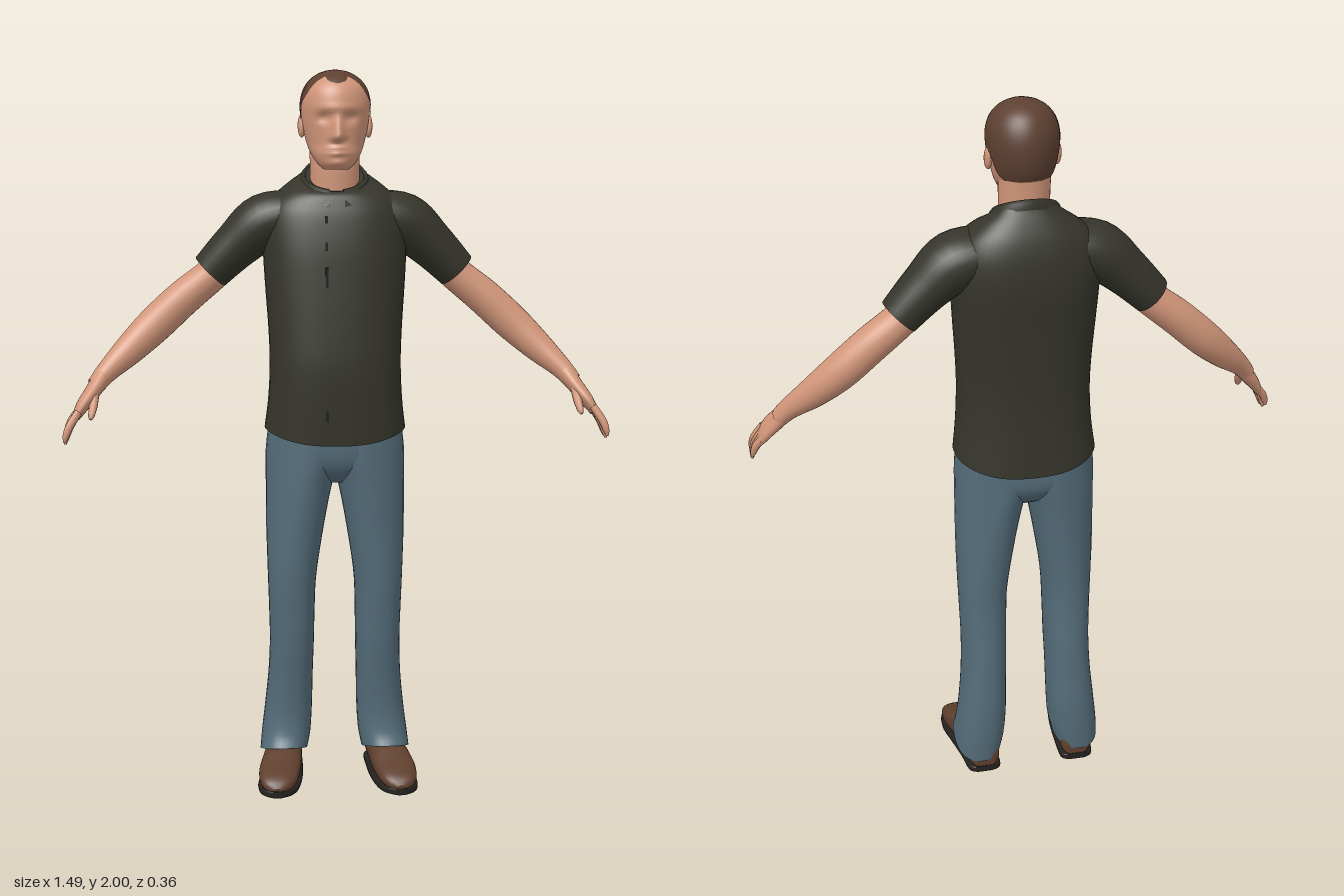
import * as THREE from 'three';

const mat = (name, color) => Object.assign(new THREE.MeshStandardMaterial({ color }), { name });
const { sin, cos, abs, sign, max, min, exp, PI } = Math;
const pw = (v, p) => sign(v) * Math.pow(abs(v), p);
const bell = (v, w) => exp(-(v * v) / (w * w));

// Catmull-Rom resampling of every column of a small table
function smooth(table, steps) {
  const out = [], last = table.length - 1;
  for (let i = 0; i < last; i++) {
    const [a, b, c, d] = [max(i - 1, 0), i, i + 1, min(i + 2, last)].map(k => table[k]);
    for (let s = 0; s < steps; s++) {
      const t = s / steps;
      out.push(b.map((_, k) => b[k] + 0.5 * t * (c[k] - a[k]
        + t * (2 * a[k] - 5 * b[k] + 4 * c[k] - d[k] + t * (3 * (b[k] - c[k]) + d[k] - a[k])))));
    }
  }
  out.push(table[last]);
  return out;
}

// Linear lookup of a row by its first column
function lookup(table, key) {
  let i = 0;
  while (i < table.length - 2 && table[i + 1][0] < key) i++;
  const a = table[i], b = table[i + 1];
  const t = min(1, max(0, (key - a[0]) / (b[0] - a[0])));
  return a.map((v, k) => v + (b[k] - v) * t);
}

const ring = (n, fn, p = 1) => Array.from({ length: n }, (_, i) => {
  const a = (i / n) * PI * 2;
  return fn(pw(sin(a), p), pw(cos(a), p), a);
});

// Skin a list of equal-length rings, optionally capping both ends
function loft(rows, caps = true, closed = true) {
  const n = rows[0].length, pos = rows.flat(2), idx = [];
  for (let j = 0; j < rows.length - 1; j++) {
    for (let i = 0; i < (closed ? n : n - 1); i++) {
      const k = (i + 1) % n, a = j * n + i, b = j * n + k;
      idx.push(a, b, b + n, a, b + n, a + n);
    }
  }
  if (caps) {
    [rows[0], rows[rows.length - 1]].forEach((r, e) => {
      const base = pos.length / 3;
      pos.push(...r.flat(), ...[0, 1, 2].map(k => r.reduce((s, p) => s + p[k], 0) / n));
      for (let i = 0; i < n; i++) {
        const k = (i + 1) % n;
        idx.push(base + n, base + (e ? i : k), base + (e ? k : i));
      }
    });
  }
  const g = new THREE.BufferGeometry();
  g.setAttribute('position', new THREE.Float32BufferAttribute(pos, 3));
  g.setIndex(idx);
  g.computeVertexNormals();
  return g;
}

// Limb from sections [x, y, z, radius across, radius front-back]
function limb(sections, n = 20, steps = 5) {
  const s = smooth(sections, steps);
  const P = s.map(r => new THREE.Vector3(r[0], r[1], r[2]));
  return loft(s.map((r, i) => {
    const t = P[min(i + 1, P.length - 1)].clone().sub(P[max(i - 1, 0)]).normalize();
    const u = t.clone().cross(new THREE.Vector3(0, 0, 1)).normalize();
    const v = u.clone().cross(t);
    return ring(n, (sa, ca) => P[i].clone().addScaledVector(u, sa * r[3]).addScaledVector(v, ca * r[4]).toArray());
  }));
}

function mirrored(geo) {
  const g = geo.clone().scale(-1, 1, 1), ix = g.index.array;
  for (let i = 0; i < ix.length; i += 3) [ix[i], ix[i + 1]] = [ix[i + 1], ix[i]];
  g.computeVertexNormals();
  return g;
}

export function createModel() {
  const model = new THREE.Group();
  const skin = mat('skin', 0xd2967a), shirt = mat('shirt', 0x35352c), jeans = mat('jeans', 0x546c79);
  const hair = mat('hair', 0x5d4031), leather = mat('shoe leather', 0x5e3f2d);
  const rubber = mat('sole rubber', 0x23221f), seam = mat('placket', 0x1c1c18);
  const collarCloth = mat('collar cloth', 0x33332a);
  collarCloth.side = THREE.DoubleSide;
  const add = (name, geo, m) => {
    const mesh = new THREE.Mesh(geo, m);
    mesh.name = name;
    model.add(mesh);
  };
  const pair = (name, geo, m) => {
    add('left ' + name, geo, m);
    add('right ' + name, mirrored(geo), m);
  };

  // Shirt body: [y, half width, front z, back z, forward tilt, hem curve]
  const body = smooth([
    [1.003, .197, .114, -.166, 0, .017], [1.1, .187, .122, -.158, 0, 0], [1.2, .182, .126, -.155, 0, 0],
    [1.3, .185, .12, -.158, 0, 0], [1.42, .193, .11, -.167, 0, 0], [1.52, .198, .1, -.176, 0, 0],
    [1.6, .195, .085, -.172, 0, 0], [1.65, .175, .072, -.157, .01, 0], [1.685, .135, .06, -.135, .02, 0],
    [1.705, .1, .045, -.115, .03, 0], [1.715, .078, .035, -.105, .04, 0]], 4);
  add('shirt body', loft(body.map(([y, w, f, b, tilt, hem]) => ring(48, (s, c, a) =>
    [w * s, y - tilt * c - hem * cos(2 * a), (f + b) / 2 + c * (f - b) / 2], .8))), shirt);
  pair('sleeve', limb([[.09, 1.615, -.045, .06, .09], [.19, 1.59, -.05, .078, .092],
    [.27, 1.525, -.055, .066, .076], [.343, 1.452, -.06, .056, .063]], 28), shirt);

  // Folded collar, open at the throat
  const collarRow = (rx, rz, lean, drop, dip) => Array.from({ length: 41 }, (_, i) => {
    const a = .22 + (i / 40) * (PI * 2 - .44), c = cos(a), f = max(0, c);
    return [rx * sin(a), 1.722 - .042 * c - drop - dip * f, -.035 + c * (rz + lean * f)];
  });
  add('collar', loft([collarRow(.1, .083, .035, .027, .018), collarRow(.092, .08, .012, .008, .004),
    collarRow(.084, .074, .004, 0, 0), collarRow(.078, .069, 0, .012, 0), collarRow(.076, .067, 0, .04, 0)],
  false, false), collarCloth);

  // Button placket marks following the chest
  for (const [y, h] of [[1.6, .02], [1.53, .025], [1.44, .07], [1.07, .03]]) {
    const g = new THREE.BoxGeometry(.007, h, .004);
    g.translate(-.03, y, lookup(body, y)[2] - .001);
    add('placket mark', g, seam);
  }

  // Trousers: legs [y, inner x, outer x, front z, back z, hem tilt], pulled in to the hip outline
  const legs = smooth([
    [.07, .08, .215, .058, -.14, .03], [.12, .07, .21, .04, -.145, .012], [.2, .065, .2, .034, -.147, 0],
    [.3, .063, .19, .045, -.142, 0], [.4, .06, .186, .06, -.137, 0], [.5, .058, .188, .07, -.131, 0],
    [.6, .053, .191, .08, -.131, 0], [.75, .03, .195, .09, -.14, 0], [.87, .006, .197, .1, -.15, 0],
    [.95, -.02, .195, .105, -.155, 0], [1.04, -.03, .185, .1, -.15, 0]], 4);
  pair('trouser leg', loft(legs.map(([y, i, o, f, b, tilt]) => ring(36, (s, c) => {
    let x = max((i + o) / 2 + s * (o - i) / 2, y > .85 ? 0 : -1), z = (f + b) / 2 + c * (f - b) / 2;
    const k = Math.pow(abs(x / .195), 2.5) + Math.pow(abs((z + .025) / .131), 2.5);
    const w = THREE.MathUtils.smoothstep(y, .4, .8);
    const q = k > 1 ? 1 + w * (Math.pow(k, -.4) - 1) : 1;
    return [x * q, y + tilt * c, (z + .025) * q - .025];
  }, .85))), jeans);
  add('trouser seat', loft(smooth([[.87, .05, .04, -.09], [.9, .11, .08, -.128], [.95, .185, .103, -.154],
    [1.04, .182, .106, -.15]], 4).map(([y, w, f, b]) => ring(40, (s, c) =>
    [w * s, y, (f + b) / 2 + c * (f - b) / 2], .8))), jeans);

  // Shoes: [z, centre x, half width, height]
  const shoe = smooth([[-.135, .14, .028, .06], [-.12, .14, .045, .09], [-.05, .145, .05, .11],
    [.03, .155, .056, .1], [.09, .165, .058, .076], [.14, .17, .05, .058], [.165, .172, .035, .044],
    [.178, .173, .012, .028]], 4);
  pair('shoe', loft(shoe.map(([z, x, w, h]) => ring(28, (s, c) =>
    [x + w * s, .012 + (h - .012) * (1 - c) / 2, z], .8))), leather);
  pair('sole', loft(shoe.map(([z, x, w]) => ring(20, (s, c) =>
    [x + (w + .003) * s, .01 - .01 * c, z * 1.01], .4))), rubber);

  // Arms and hands
  pair('arm', limb([[.27, 1.51, -.055, .05, .05], [.34, 1.443, -.06, .047, .051], [.42, 1.378, -.058, .05, .052],
    [.5, 1.305, -.047, .05, .05], [.57, 1.24, -.02, .042, .042], [.63, 1.185, .015, .03, .033],
    [.66, 1.15, .036, .025, .031]], 24), skin);
  pair('palm', limb([[.64, 1.175, .024, .025, .03], [.665, 1.14, .045, .022, .038],
    [.695, 1.1, .072, .018, .045], [.713, 1.07, .085, .011, .038]], 20), skin);
  for (let i = 0; i < 4; i++) {
    const z = .114 - .022 * i, len = [.9, 1, .97, .8][i];
    pair('finger', limb([[.703, 1.09, z, .011, .011], [.727, 1.09 - .04 * len, z + .012, .011, .011],
      [.737, 1.09 - .068 * len, z + .018, .009, .009], [.741, 1.09 - .088 * len, z + .019, .004, .004]], 10, 3), skin);
  }
  pair('thumb', limb([[.662, 1.14, .062, .014, .016], [.664, 1.105, .092, .012, .013],
    [.669, 1.08, .112, .009, .009], [.671, 1.07, .119, .004, .004]], 10, 3), skin);

  // Neck and head: [y, half width, front z, back z]
  add('neck', loft(smooth([[1.6, .08, .03, -.1], [1.68, .07, .034, -.098], [1.74, .068, .036, -.094],
    [1.82, .07, .03, -.098]], 4).map(([y, w, f, b]) => ring(32, (s, c) =>
    [w * s, y, (f + b) / 2 + c * (f - b) / 2]))), skin);
  const skull = smooth([
    [1.735, .034, .075, 0], [1.75, .051, .09, -.03], [1.775, .067, .096, -.065], [1.8, .077, .092, -.095],
    [1.83, .085, .092, -.108], [1.87, .092, .095, -.116], [1.91, .094, .098, -.116], [1.945, .086, .089, -.106],
    [1.97, .069, .068, -.09], [1.986, .047, .042, -.066], [1.994, .025, .015, -.04], [1.997, .001, -.011, -.013]], 5);
  const onSkull = ([y, w, f, b], s, c) => [w * s, y, (f + b) / 2 + c * (f - b) / 2];
  // Nose, brow, eye sockets, lips and chin as smooth bumps on the face
  const face = (x, y) => {
    const nose = y > 1.82 ? max(0, 1 - (y - 1.82) / .065) : max(0, 1 - (1.82 - y) / .016);
    return .034 * nose * bell(x, .009 + .008 * nose)
      - .012 * bell(abs(x) - .036, .018) * bell(y - 1.872, .013)
      + .005 * bell(y - 1.897, .01) * bell(x, .06)
      + .008 * bell(x, .026) * (bell(y - 1.792, .006) + bell(y - 1.778, .006))
      + .006 * bell(x, .025) * bell(y - 1.752, .01);
  };
  add('head', loft(skull.map(r => ring(72, (s, c) => {
    const [x, y, z] = onSkull(r, s, c);
    return [x, y, z + (c > 0 ? face(x, y) * min(1, c * 3) : 0)];
  }))), skin);
  const ear = new THREE.SphereGeometry(1, 16, 12).scale(.011, .032, .019).rotateX(-.2).translate(.091, 1.85, -.014);
  pair('ear', ear, skin);

  // Short hair: the hairline height depends on the angle from the front
  const hairline = [[0, 1.962], [18, 1.968], [32, 1.982], [48, 1.966], [62, 1.93], [74, 1.91], [80, 1.87],
    [92, 1.868], [104, 1.872], [116, 1.82], [135, 1.797], [180, 1.79]];
  add('hair', loft(Array.from({ length: 15 }, (_, j) => ring(72, (s, c, a) => {
    const low = lookup(hairline, (a > PI ? 2 * PI - a : a) * 180 / PI)[1];
    const y = low + (1.997 - low) * sin((j / 14) * PI / 2);
    const p = onSkull(lookup(skull, y), s, c);
    return [p[0] * 1.025, p[1] + .003 * (j / 14), (p[2] + .012) * 1.025 - .012];
  })), false), hair);

  return model;
}
